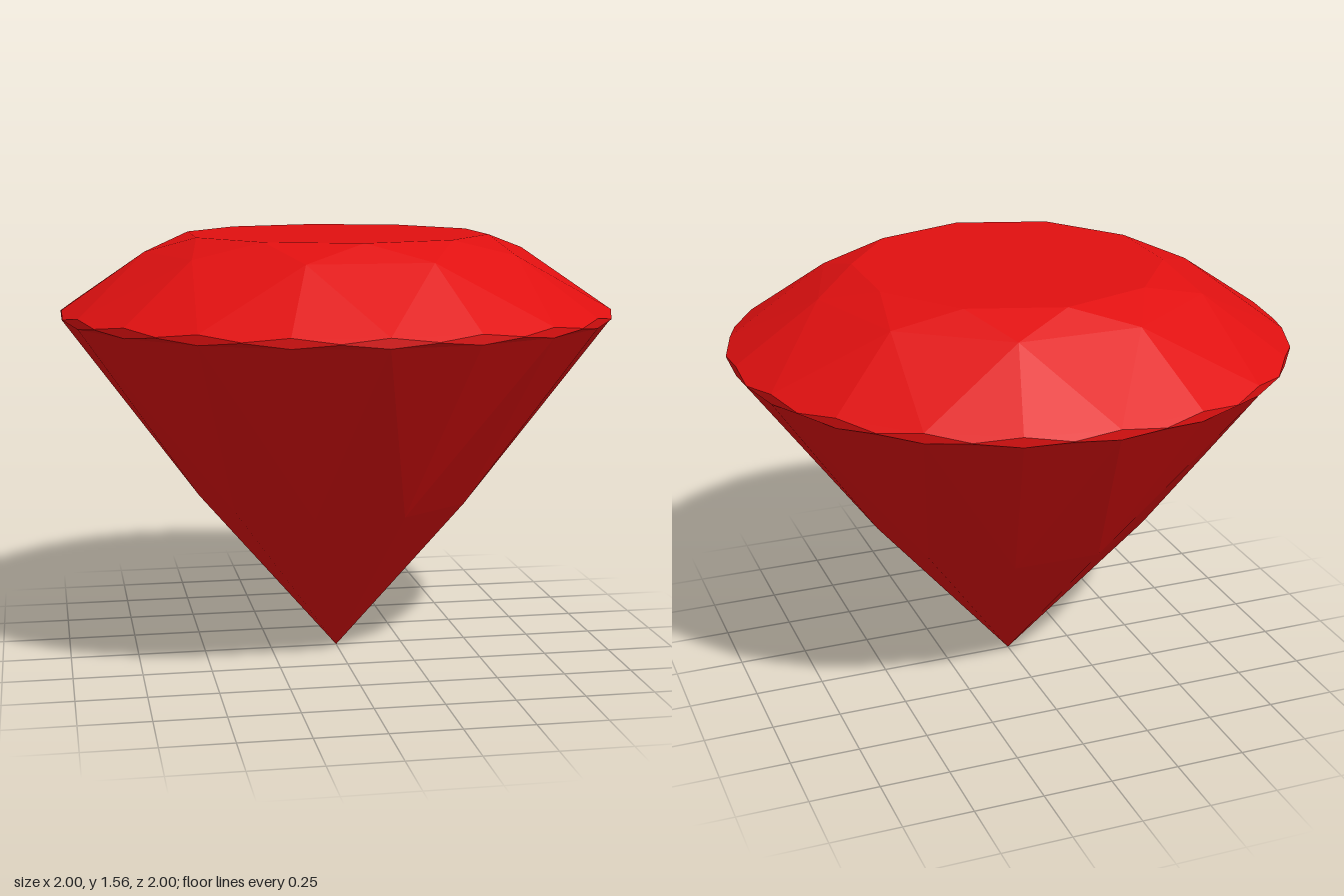
import * as THREE from 'three';

const FOLDS = 10;
const STEP = Math.PI / FOLDS; // 18 degrees, half of one repeat

// Point at n half-repeats around from the front, at radius r and height y
const at = (n, r, y) => [r * Math.sin(n * STEP), y, r * Math.cos(n * STEP)];

// Named rings of facet corners
const table = n => at(n, 0.555, 1.562);
const star = n => at(n, 0.7, 1.502);
const girdleTop = n => at(n, 1, 1.297);
const girdleLow = n => at(n, 1, 1.262);
const cornerR = 1 / Math.cos(STEP / 2);
const cornerTop = n => at(n, cornerR, 1.28);
const cornerLow = n => at(n, cornerR, 1.278);
const lower = n => at(n, 0.515, 0.6);
const culet = [0, 0, 0];

export function createModel() {
  const group = new THREE.Group();
  group.name = 'gem';
  const red = new THREE.MeshStandardMaterial({ color: 0xe01010 });
  red.name = 'ruby red';
  red.flatShading = true;

  // Repeat one set of triangles around the stone
  function addFacets(name, facets) {
    const points = [];
    for (let i = 0; i < FOLDS; i++) {
      for (const triangle of facets(2 * i)) points.push(...triangle.flat());
    }
    const geometry = new THREE.BufferGeometry();
    geometry.setAttribute('position', new THREE.Float32BufferAttribute(points, 3));
    geometry.computeVertexNormals();
    const mesh = new THREE.Mesh(geometry, red);
    mesh.name = name;
    group.add(mesh);
  }

  // Flat ten-sided top
  addFacets('table', n => [[[0, 1.562, 0], table(n), table(n + 2)]]);

  // Triangles beside the table
  addFacets('starFacets', n => [[star(n + 1), table(n + 2), table(n)]]);

  // Kites running from the table to the girdle
  addFacets('crownKites', n => [
    [star(n - 1), star(n + 1), table(n)],
    [star(n - 1), girdleTop(n), star(n + 1)],
  ]);

  // Paired facets between the kites, with scalloped outer corners
  addFacets('upperGirdleFacets', n => [n, n + 1].flatMap(k => [
    [girdleTop(k), girdleTop(k + 1), star(n + 1)],
    [girdleTop(k), cornerTop(k + 0.5), girdleTop(k + 1)],
  ]));

  // Thin upright band, pinched at its corners
  addFacets('girdle', n => [n, n + 1].flatMap(k => [
    [girdleLow(k), cornerLow(k + 0.5), cornerTop(k + 0.5)],
    [girdleLow(k), cornerTop(k + 0.5), girdleTop(k)],
    [cornerLow(k + 0.5), girdleLow(k + 1), girdleTop(k + 1)],
    [cornerLow(k + 0.5), girdleTop(k + 1), cornerTop(k + 0.5)],
  ]));

  // Paired facets below the girdle
  addFacets('lowerGirdleFacets', n => [n, n + 1].flatMap(k => [
    [lower(n + 1), girdleLow(k + 1), girdleLow(k)],
    [girdleLow(k), girdleLow(k + 1), cornerLow(k + 0.5)],
  ]));

  // Long kites meeting at the bottom point
  addFacets('pavilionKites', n => [
    [lower(n - 1), lower(n + 1), girdleLow(n)],
    [culet, lower(n + 1), lower(n - 1)],
  ]);

  return group;
}
